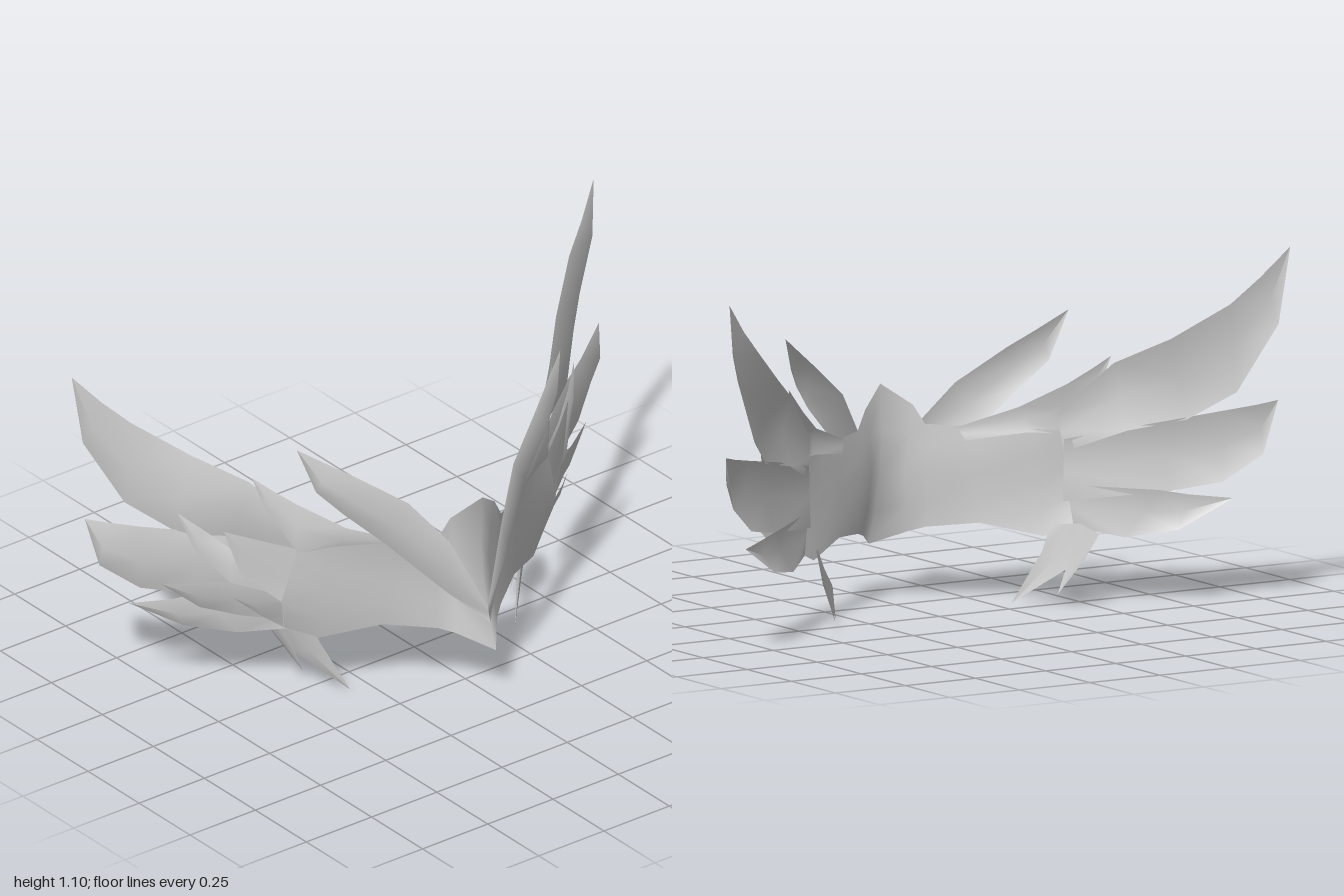
import * as THREE from 'three';

const material = new THREE.MeshStandardMaterial({ color: 0xcccccc, side: THREE.DoubleSide });

// Smooth thin surface lofted through rows of equally many points
function loft(name, rows) {
  const n = rows[0].length, index = [];
  for (let i = 0; i < rows.length - 1; i++) {
    for (let j = 0; j < n - 1; j++) {
      const a = i * n + j, b = a + n;
      index.push(a, b, a + 1, b, b + 1, a + 1);
    }
  }
  const geometry = new THREE.BufferGeometry();
  geometry.setAttribute('position', new THREE.Float32BufferAttribute(rows.flat(2), 3));
  geometry.setIndex(index);
  geometry.computeVertexNormals();
  const mesh = new THREE.Mesh(geometry, material);
  mesh.name = name;
  return mesh;
}

// Feather from matching lower and upper edges: flat at the root, bowed outward beyond, closing at a tip
function feather(name, lower, upper, tip, bow = 0.025) {
  const rows = lower.map((p, i) => {
    const q = upper[i], lift = i ? bow : 0;
    const mid = p.map((v, k) => (v + q[k]) / 2 + lift * [0.65, 0, 0.76][k]);
    return [p, mid, q];
  });
  rows.push([tip, tip, tip]);
  return loft(name, rows);
}

function createSide(name) {
  const side = new THREE.Group();
  side.name = name;
  side.add(
    // Brow feather rising from the middle
    feather('browFeather',
      [[0, 0.25, 0.373], [0.1, 0.35, 0.29], [0.26, 0.53, 0.185], [0.38, 0.65, 0.14], [0.45, 0.73, 0.095]],
      [[0, 0.3, 0.36], [0.1, 0.53, 0.3], [0.2, 0.665, 0.23], [0.34, 0.77, 0.16], [0.42, 0.825, 0.115]],
      [0.505, 0.885, 0.07], 0.025),
    // Short feather above the band
    feather('upperFeather',
      [[0.22, 0.49, 0.2], [0.38, 0.515, 0.102], [0.48, 0.51, 0.042], [0.55, 0.66, -0.035]],
      [[0.2, 0.53, 0.22], [0.36, 0.59, 0.125], [0.47, 0.665, 0.025], [0.53, 0.715, -0.025]],
      [0.575, 0.755, -0.06], 0.008),
    // Largest feather, sweeping up and back
    feather('wingFeather',
      [[0.455, 0.46, 0.02], [0.6, 0.53, -0.11], [0.75, 0.565, -0.21], [0.86, 0.655, -0.32], [0.965, 0.865, -0.39]],
      [[0.44, 0.58, 0.03], [0.575, 0.735, -0.075], [0.7, 0.815, -0.2], [0.84, 0.925, -0.315], [0.92, 1.005, -0.355]],
      [1, 1.1, -0.4]),
    // Long feather pointing sideways
    feather('sideFeather',
      [[0.45, 0.31, 0.015], [0.7, 0.345, -0.18], [0.84, 0.375, -0.27], [0.945, 0.46, -0.335]],
      [[0.455, 0.5, 0.015], [0.69, 0.56, -0.175], [0.84, 0.59, -0.26], [0.93, 0.61, -0.32]],
      [0.985, 0.625, -0.355]),
    // Lowest sideways feather
    feather('lowerFeather',
      [[0.48, 0.23, 0], [0.59, 0.205, -0.11], [0.72, 0.23, -0.21]],
      [[0.46, 0.36, 0.01], [0.68, 0.35, -0.17], [0.76, 0.335, -0.21]],
      [0.87, 0.325, -0.285], 0.015),
    // Two prongs layered between band and long feathers
    feather('middleProngUpper',
      [[0.5, 0.35, 0.01], [0.645, 0.41, -0.08], [0.725, 0.52, -0.15]],
      [[0.47, 0.5, 0.025], [0.63, 0.515, -0.1], [0.7, 0.585, -0.142]],
      [0.76, 0.64, -0.19], 0.01),
    feather('middleProngLower',
      [[0.49, 0.26, -0.005], [0.6, 0.28, -0.08], [0.7, 0.31, -0.155]],
      [[0.5, 0.38, 0.005], [0.645, 0.41, -0.08], [0.73, 0.41, -0.14]],
      [0.815, 0.41, -0.2], 0.01),
    // Jagged points at the end of the band
    feather('bandPointUpper',
      [[0.525, 0.345, 0.02], [0.62, 0.44, -0.06]],
      [[0.48, 0.52, 0.04], [0.575, 0.555, -0.025]],
      [0.66, 0.585, -0.09], 0.005),
    feather('bandPointLower',
      [[0.5, 0.24, 0], [0.56, 0.285, -0.03]],
      [[0.525, 0.345, 0.02], [0.585, 0.353, -0.02]],
      [0.64, 0.36, -0.065], 0.005),
    // Forked feather hanging below
    feather('hangingProngFront',
      [[0.415, 0.24, 0.03], [0.385, 0.16, 0.03]],
      [[0.47, 0.25, -0.05], [0.425, 0.11, -0.04]],
      [0.315, 0, 0.09], 0.012),
    feather('hangingProngBack',
      [[0.47, 0.25, -0.05], [0.425, 0.11, -0.04]],
      [[0.495, 0.225, -0.12], [0.45, 0.15, -0.11]],
      [0.395, 0.035, -0.04], 0.012),
  );
  return side;
}

export function createModel() {
  const model = new THREE.Group();
  model.name = 'wingedVisor';

  // Brow band with pointed crest; columns run bottom to top, from the middle outward
  const columns = [
    [[0, 0.165, 0.4], [0, 0.27, 0.365], [0, 0.4, 0.335], [0, 0.53, 0.325], [0, 0.665, 0.335]],
    [[0.08, 0.21, 0.305], [0.07, 0.29, 0.295], [0.06, 0.4, 0.29], [0.07, 0.51, 0.285], [0.085, 0.6, 0.285]],
    [[0.12, 0.225, 0.27], [0.12, 0.3, 0.265], [0.12, 0.39, 0.26], [0.12, 0.47, 0.265], [0.12, 0.54, 0.272]],
    [[0.25, 0.24, 0.17], [0.25, 0.31, 0.175], [0.25, 0.39, 0.178], [0.25, 0.46, 0.182], [0.27, 0.53, 0.18]],
    [[0.41, 0.2, 0.06], [0.41, 0.27, 0.075], [0.41, 0.36, 0.085], [0.4, 0.44, 0.09], [0.39, 0.525, 0.1]],
    [[0.5, 0.24, 0], [0.51, 0.29, 0.012], [0.525, 0.345, 0.02], [0.505, 0.43, 0.033], [0.48, 0.52, 0.04]],
  ];
  const mirrored = columns.slice(1).reverse().map(c => c.map(([x, y, z]) => [-x, y, z]));
  model.add(loft('browBand', [...mirrored, ...columns]));

  const left = createSide('leftFeathers');
  const right = createSide('rightFeathers');
  right.scale.x = -1;
  model.add(left, right);
  return model;
}
